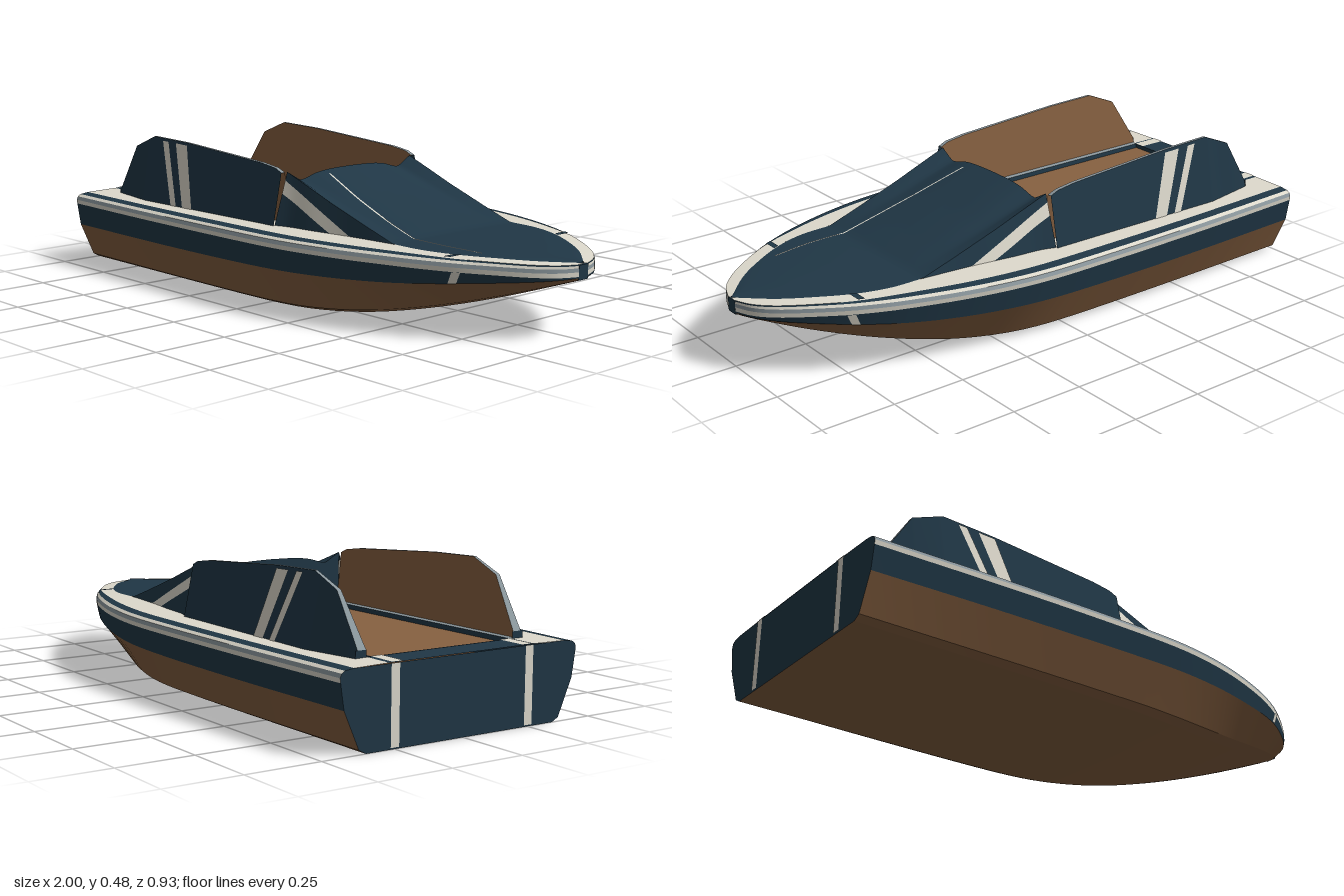
import * as THREE from 'three';

const mat = (name, color) => {
  const m = new THREE.MeshStandardMaterial({ color, side: THREE.DoubleSide });
  m.name = name;
  return m;
};

// Interpolated table of [x, value] pairs; smooth uses Hermite tangents
const table = (pts, smooth = true) => (x) => {
  const n = pts.length - 1;
  if (x <= pts[0][0]) return pts[0][1];
  if (x >= pts[n][0]) return pts[n][1];
  let i = 0;
  while (x > pts[i + 1][0]) i++;
  const [x0, a] = pts[i], [x1, b] = pts[i + 1], h = x1 - x0, t = (x - x0) / h;
  if (!smooth) return a + (b - a) * t;
  const slope = (k) => {
    const p = pts[Math.max(k - 1, 0)], q = pts[Math.min(k + 1, n)];
    return (q[1] - p[1]) / (q[0] - p[0]);
  };
  const t2 = t * t, t3 = t2 * t;
  return a * (2 * t3 - 3 * t2 + 1) + b * (3 * t2 - 2 * t3)
    + h * (slope(i) * (t3 - 2 * t2 + t) + slope(i + 1) * (t3 - t2));
};
const lerp = (a, b, t) => a + (b - a) * t;

export function createModel() {
  const boat = new THREE.Group();
  boat.name = 'speedboat';
  const navy = mat('navy', 0x203746), brown = mat('brown', 0x876141);
  const cream = mat('cream', 0xdedacd), grey = mat('grey', 0x8d999f);

  // Surface from f(u, v), mirrored across the centreline unless sides = [1]
  function grid(name, material, f, nu, nv, sides = [1, -1]) {
    const pos = [], idx = [];
    for (const s of sides) {
      const base = pos.length / 3;
      for (let i = 0; i <= nu; i++) for (let j = 0; j <= nv; j++) {
        const [x, y, z] = f(i / nu, j / nv);
        pos.push(x, y, z * s);
      }
      for (let i = 0; i < nu; i++) for (let j = 0; j < nv; j++) {
        const a = base + i * (nv + 1) + j, b = a + nv + 1;
        if (s > 0) idx.push(a, b, a + 1, b, b + 1, a + 1);
        else idx.push(a, a + 1, b, b, a + 1, b + 1);
      }
    }
    const g = new THREE.BufferGeometry();
    g.setAttribute('position', new THREE.Float32BufferAttribute(pos, 3));
    g.setIndex(idx);
    g.computeVertexNormals();
    const mesh = new THREE.Mesh(g, material);
    mesh.name = name;
    boat.add(mesh);
  }
  // Strip along x between two edges, each edge(x) = [y, z]
  function band(name, material, p, q, x0 = -1, x1 = 1, n = 48) {
    grid(name, material, (u, v) => {
      const x = x1 > 0.9 ? lerp(x0, x1, Math.sin(u * Math.PI / 2)) : lerp(x0, x1, u);
      const a = p(x), b = q(x);
      return [x, lerp(a[0], b[0], v), lerp(a[1], b[1], v)];
    }, n, 1);
  }

  // Hull lines along the length
  const w = table([[-1, .44], [-.5, .459], [0, .464], [.2, .453], [.4, .415], [.6, .35], [.72, .294], [.8, .244], [.9, .168], [.95, .118], [.98, .073], [1, .02]]);
  const bottom = table([[-1, .35], [0, .35], [.2, .33], [.4, .28], [.6, .205], [.8, .115], [.95, .035], [1, .004]]);
  const keel = table([[-1, 0], [-.2, 0], [0, .001], [.2, .006], [.4, .025], [.6, .063], [.8, .117], [1, .183]]);
  const chineY = table([[-1, .13], [0, .138], [.5, .152], [.8, .175], [1, .19]]);
  const deckY = table([[-1, .245], [0, .248], [.5, .247], [.8, .24], [1, .23]]);
  const inner = table([[-1, .27], [.5, .27], [.6, .264], [.7, .232], [.8, .176], [.9, .104], [1, 0]]);
  const stripeIn = table([[0, .89], [.6, .905], [.74, .935], [.9, .95]]);

  const lines = [
    (x) => [keel(x), 0],
    (x) => [keel(x), bottom(x)],
    (x) => [lerp(keel(x), chineY(x), .1), lerp(bottom(x), w(x) * .968, .32)],
    (x) => [chineY(x), w(x) * .968],
    (x) => [deckY(x) - .036, w(x) * .996],
    (x) => [deckY(x) - .022, w(x)],
    (x) => [deckY(x) - .01, w(x) * .988],
    (x) => [deckY(x) - .003, w(x) * .962],
    (x) => [deckY(x) + .001, w(x) * stripeIn(x)],
    (x) => [deckY(x) + .003, Math.min(inner(x), w(x) * stripeIn(x))],
  ];
  const strips = [['hullBottom', brown], ['bilge', brown], ['lowerSide', brown], ['upperSide', navy],
    ['sideStripe', cream], ['rubRail', grey], ['railTop', cream], ['deckStripe', navy], ['sideDeck', cream]];
  strips.forEach(([name, m], i) => band(name, m, lines[i], lines[i + 1]));

  // Transom and its vertical stripes
  const stern = lines.slice(0, 9).map((l) => l(-1));
  grid('transom', navy, (u, v) => {
    const [y, z] = stern[Math.round(v * 8)];
    return [-1, y, z * u];
  }, 1, 8);
  grid('transomStripe', cream, (u, v) => [-1.002, lerp(.005, .246, v), lerp(.235, .265, u)], 1, 1);
  band('sternDeck', navy, (x) => [deckY(x) + .003, .272], (x) => [deckY(x) + .003, 0], -1, -.9, 2);
  band('sternDeckStripe', cream, (x) => [deckY(x) + .005, .262], (x) => [deckY(x) + .005, .222], -1, -.9, 2);

  // Bow cap
  const cap = new THREE.Mesh(new THREE.BoxGeometry(.012, .046, .042), navy);
  cap.name = 'bowCap';
  cap.position.set(.994, .206, 0);
  boat.add(cap);

  // Slanted bow marks on the side and deck
  grid('bowMark', cream, (u, v) => {
    const x = lerp(.722, .745, u) + v * .015, a = lines[3](x), b = lines[4](x);
    return [x, lerp(a[0], b[0], v), lerp(a[1], b[1], v) + .003];
  }, 2, 2);
  grid('deckMark', navy, (u, v) => {
    const x = lerp(.70, .72, u), a = lines[8](x), b = lines[9](x);
    return [x, a[0] + .004, lerp(a[1], b[1], v)];
  }, 2, 2);

  // Raised foredeck, blending from the cockpit front down to the bow
  const rise = table([[0, 1], [.1, .78], [.2, .555], [.36, .23], [.48, 0], [1, 0]], false);
  const crown = table([[0, .16], [.35, .158], [.55, .152], [.79, .137], [.88, .15], [1, .17]]);
  const edge = (x) => x < .5 ? lerp(.282, .27, x / .5) : inner(x);
  const foreY = (x, z) => {
    const q = Math.min(Math.abs(z) / Math.max(edge(x), .001), 1);
    return deckY(x) + .003 + .004 * (1 - q * q) + rise(x) * crown(q);
  };
  grid('foredeck', navy, (u, v) => {
    const x = Math.sin(u * Math.PI / 2), z = edge(x) * (1 - v);
    return [x, foreY(x, z), z];
  }, 60, 20);
  const base = table([[0, .338], [.05, .323], [.15, .313], [.3, .291], [.5, .27]]);
  const sideAt = (y) => (x) => {
    const y0 = deckY(x) + .003, y1 = foreY(x, edge(x));
    const t = y1 - y0 < .0005 ? 0 : THREE.MathUtils.clamp((y(x) - y0) / (y1 - y0), 0, 1);
    return [lerp(y0, y1, t), lerp(base(x), edge(x), t)];
  };
  const flare = [() => 0, (x) => .352 - .45 * x, (x) => .394 - .47 * x, () => 1].map(sideAt);
  [['fairingLower', navy], ['fairingStripe', cream], ['fairingUpper', navy]]
    .forEach(([name, m], i) => band(name, m, flare[i], flare[i + 1], 0, .5, 40));

  // Thin curved line on one side of the foredeck
  const lineZ = table([[.03, .122], [.2, .15], [.4, .174], [.6, .182], [.75, .166]]);
  grid('foredeckLine', cream, (u, v) => {
    const x = lerp(.03, .75, u), z = lineZ(x) + lerp(.003, -.003, v);
    return [x, foreY(x, z) + .002, z];
  }, 40, 1, [1]);

  // Cockpit side walls
  const wallTop = table([[-.9, .27], [-.8, .43], [-.69, .475], [-.5, .47], [-.1, .443], [-.03, .433], [0, .42]], false);
  const wallOut = table([[-.9, .315], [-.7, .35], [0, .343]], false);
  const wallAt = (x, t) => [lerp(.247, wallTop(x), t), lerp(wallOut(x), .307, t)];
  const topIn = (x) => [wallTop(x), lerp(.275, .297, (wallTop(x) - .25) / .225)];
  band('wallOuter', navy, (x) => wallAt(x, 0), (x) => wallAt(x, 1), -.9, 0, 90);
  band('wallCap', grey, (x) => wallAt(x, 1), topIn, -.9, 0, 90);
  band('wallLining', brown, topIn, () => [.25, .275], -.9, 0, 90);
  grid('wallEnd', navy, (u, v) => [-.9, lerp(.245, .27, v), lerp(.275, .315, u)], 1, 1);
  for (const [b0, b1, t0, t1] of [[-.545, -.515, -.635, -.603], [-.48, -.428, -.56, -.497]]) {
    grid('wallStripe', cream, (u, v) => {
      const x = lerp(lerp(b0, b1, u), lerp(t0, t1, u), v), [y, z] = wallAt(x, v * .96);
      return [x, y, z + .003];
    }, 1, 6);
  }

  // Cockpit: trim rail, lower wall, floor and end panels
  const floorY = .235;
  band('trimRail', grey, () => [.253, .277], () => [.25, .26], -.9, 0, 1);
  band('lowerWall', navy, () => [.25, .26], () => [floorY, .258], -.9, 0, 1);
  band('floor', brown, () => [floorY, .26], () => [floorY, 0], -.9, 0, 1);
  grid('sternCoaming', navy, (u, v) => [-.9, lerp(.249, floorY, v), .272 * u], 1, 1);
  grid('bulkhead', navy, (u, v) => [0, lerp(floorY, foreY(0, .282 * u), v), .282 * u], 20, 1);
  return boat;
}
